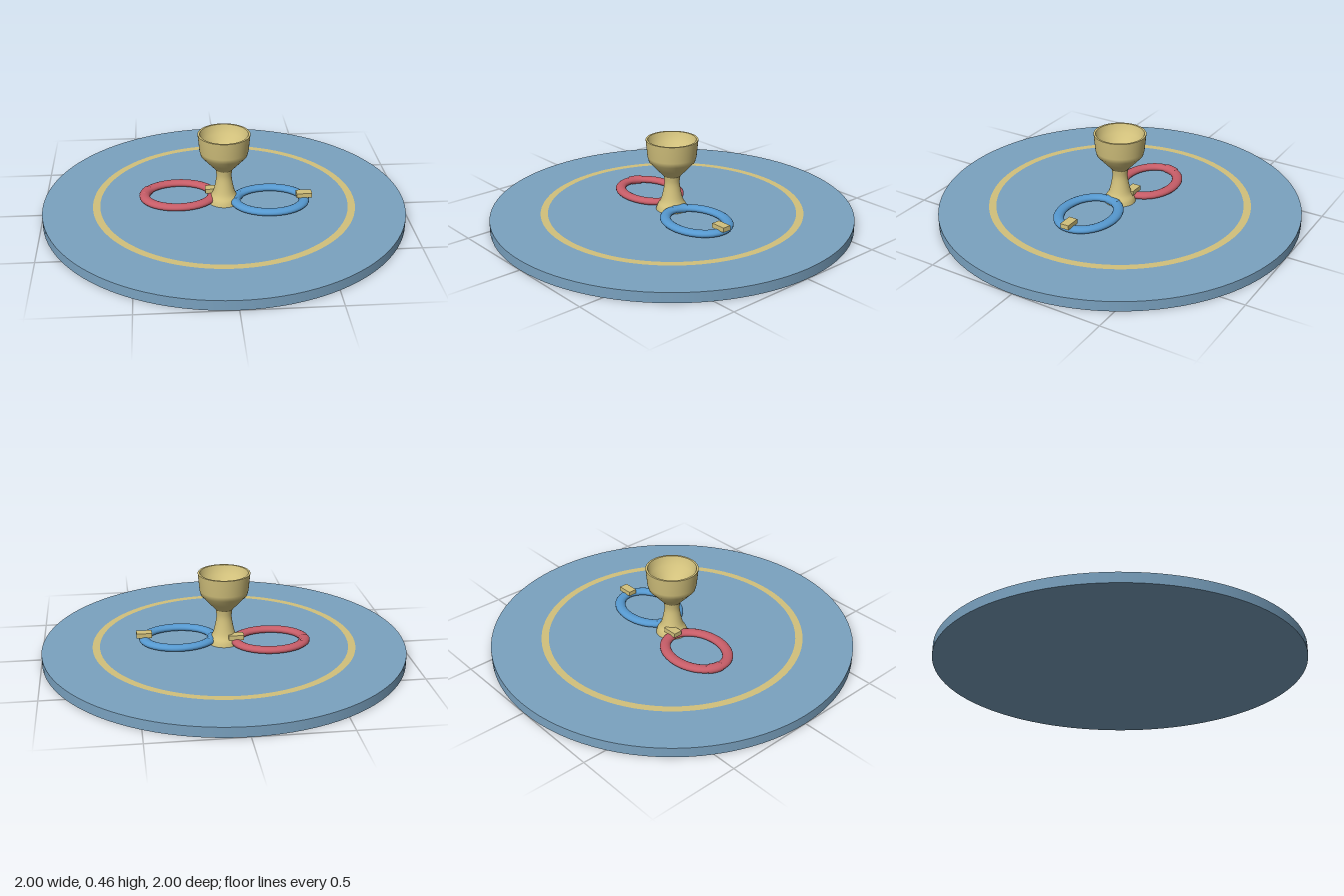
import * as THREE from 'three';

export function createModel() {
  const model = new THREE.Group();
  const material = (name, color) => {
    const m = new THREE.MeshStandardMaterial({ color });
    m.name = name;
    return m;
  };
  const matBlue = material('mat blue', 0x7aa2c0);
  const gold = material('gold', 0xd2c17c);
  const red = material('collar red', 0xc75d68);
  const blue = material('collar blue', 0x5699d0);

  const add = (parent, name, geometry, mat) => {
    const mesh = new THREE.Mesh(geometry, mat);
    mesh.name = name;
    parent.add(mesh);
    return mesh;
  };

  // Round mat with a painted ring
  add(model, 'roundMat', new THREE.CylinderGeometry(1, 1, 0.055, 96), matBlue).position.y = 0.0275;
  const ring = add(model, 'matRing', new THREE.RingGeometry(0.685, 0.725, 96), gold);
  ring.rotation.x = -Math.PI / 2;
  ring.position.y = 0.0575;

  // Goblet: each run of the profile is smooth, with creases between runs
  const goblet = new THREE.Group();
  goblet.name = 'goblet';
  model.add(goblet);
  const lathe = (name, points) =>
    add(goblet, name, new THREE.LatheGeometry(points.map(p => new THREE.Vector2(...p)), 48), gold);
  const stemCurve = new THREE.SplineCurve([
    [0.088, 0.055], [0.08, 0.08], [0.062, 0.11], [0.049, 0.16], [0.042, 0.21], [0.046, 0.25],
  ].map(p => new THREE.Vector2(...p)));
  lathe('gobletStem', stemCurve.getPoints(20).map(p => [p.x, p.y]));
  lathe('gobletBowl', [[0.046, 0.25], [0.085, 0.292], [0.127, 0.338], [0.134, 0.365], [0.143, 0.46]]);
  lathe('gobletRim', [[0.143, 0.46], [0.132, 0.46]]);
  lathe('gobletInside', [[0.132, 0.46], [0.115, 0.41], [0.06, 0.355], [0, 0.33]]);

  // Flattened oval collars, each with a keeper and a buckle
  class OvalArc extends THREE.Curve {
    constructor(start, end) {
      super();
      this.start = start;
      this.end = end;
    }
    getPoint(t, target = new THREE.Vector3()) {
      const a = THREE.MathUtils.lerp(this.start, this.end, t);
      return target.set(0.19 * Math.cos(a), 0, 0.147 * Math.sin(a));
    }
  }
  const addCollar = (name, x, z, mat) => {
    const collar = new THREE.Group();
    collar.name = name;
    collar.position.set(x, 0.075, z);
    model.add(collar);
    const band = new THREE.TubeGeometry(new OvalArc(0, Math.PI * 2), 72, 0.029, 14, true);
    add(collar, 'collarBand', band, mat).scale.y = 0.66;

    const arc = new OvalArc(Math.PI + 0.05, Math.PI + 0.5);
    const keeper = add(collar, 'collarKeeper', new THREE.TubeGeometry(arc, 10, 0.031, 14), mat);
    keeper.scale.y = 0.75;
    [0, 1].forEach(t => {
      const cap = add(collar, 'keeperEnd', new THREE.SphereGeometry(0.031, 14, 10), mat);
      cap.position.copy(arc.getPoint(t));
      cap.scale.set(0.6, 0.75, 0.6);
    });
    add(collar, 'buckle', new THREE.BoxGeometry(0.085, 0.026, 0.05), gold).position.set(0.19, 0.028, 0);
  };
  addCollar('redCollar', -0.25, -0.047, red);
  addCollar('blueCollar', 0.25, 0.045, blue);

  return model;
}
